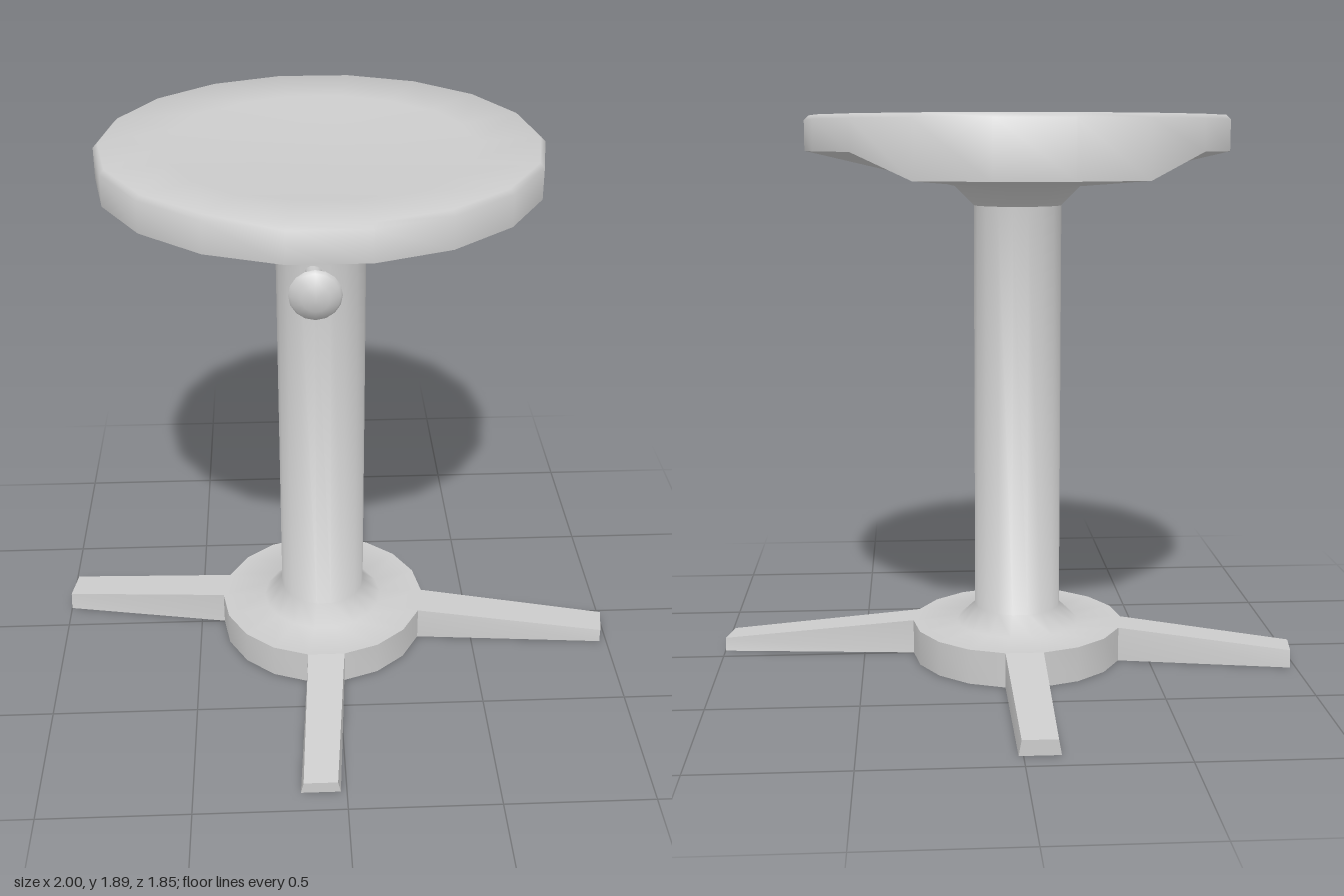
import * as THREE from 'three';
import { toCreasedNormals } from 'three/addons/utils/BufferGeometryUtils.js';

const SIDES = 18, CX = -0.045, HUB_R = 0.37, HUB_H = 0.12;
const material = new THREE.MeshStandardMaterial({ color: 0xcccccc, side: THREE.DoubleSide });

function part(name, geometry, crease = 0.9) {
  const mesh = new THREE.Mesh(toCreasedNormals(geometry, crease), material);
  mesh.name = name;
  return mesh;
}

// Turned part with a corner on the +x axis
function lathe(profile, sides = SIDES) {
  return new THREE.LatheGeometry(profile.map(p => new THREE.Vector2(...p)), sides, Math.PI / 2);
}

// Surface from four-cornered faces
function quads(list) {
  const pos = [];
  for (const [a, b, c, d] of list) pos.push(...a, ...b, ...c, ...a, ...c, ...d);
  const g = new THREE.BufferGeometry();
  g.setAttribute('position', new THREE.Float32BufferAttribute(pos, 3));
  return g;
}

function hubPoint(k, y) {
  const a = k * Math.PI * 2 / SIDES;
  return [CX + HUB_R * Math.cos(a), y, HUB_R * Math.sin(a)];
}

// Hollow leg growing out of one side of the hub; a and b are the tip corners
function leg(side, a, b, h) {
  const rA0 = hubPoint(side, 0), rA1 = hubPoint(side, HUB_H);
  const rB0 = hubPoint(side + 1, 0), rB1 = hubPoint(side + 1, HUB_H);
  const mix = t => [a[0] + (b[0] - a[0]) * t, a[1] + (b[1] - a[1]) * t];
  const at = ([x, z], y) => [x, y, z];
  const tA0 = at(a, 0), tB0 = at(b, 0), tA1 = at(mix(0.07), h), tB1 = at(mix(0.93), h);
  return quads([
    [rA0, rA1, tA1, tA0],
    [tB0, tB1, rB1, rB0],
    [tA0, tA1, tB1, tB0],
    [rA1, rB1, tB1, tA1],
  ]);
}

export function createModel() {
  const model = new THREE.Group();
  model.name = 'stool';

  // Seat: dished top, conical underside, rim pulled down at the back
  const seatGeometry = lathe([
    [0.15, 1.59], [0.215, 1.655], [0.72, 1.773], [0.72, 1.875], [0.705, 1.89],
    [0.5, 1.878], [0.25, 1.864], [0, 1.86],
  ]);
  const p = seatGeometry.attributes.position;
  for (let i = 0; i < p.count; i++) {
    if (p.getZ(i) < -0.55 && p.getY(i) < 1.8) p.setY(i, 1.688);
  }
  const seat = part('seat', seatGeometry);
  seat.position.x = CX;
  model.add(seat);

  // Column with a flared foot and the top of the hub
  const column = part('column', lathe([
    [HUB_R, HUB_H], [0.215, HUB_H], [0.15, 0.18], [0.15, 1.6],
  ]));
  column.position.x = CX;
  model.add(column);

  // Plate closing the column from below
  const plate = part('columnPlate', new THREE.CircleGeometry(0.2, SIDES).rotateX(Math.PI / 2));
  plate.position.set(CX, HUB_H + 0.003, 0);
  model.add(plate);

  // Legs, each on one side of the hub
  const legs = {
    leftLeg: [0, [1, 0.06], [0.975, 0.185], 0.045],
    frontLeg: [4, [-0.02, 0.92], [-0.15, 0.92], 0.04],
    rightLeg: [9, [-1, -0.105], [-0.98, -0.235], 0.06],
    backLeg: [13, [-0.115, -0.925], [0.015, -0.925], 0.05],
  };
  for (const [name, args] of Object.entries(legs)) model.add(part(name, leg(...args), 0.3));

  // Hub wall, open where the legs join
  const taken = Object.values(legs).map(l => l[0]);
  const wall = [];
  for (let k = 0; k < SIDES; k++) {
    if (taken.includes(k)) continue;
    wall.push([hubPoint(k, 0), hubPoint(k, HUB_H), hubPoint(k + 1, HUB_H), hubPoint(k + 1, 0)]);
  }
  model.add(part('hubWall', quads(wall)));

  // Height knob on its stem
  const knob = part('knob', lathe([
    [0.03, 0.13], [0.03, 0.275], [0.05, 0.277], [0.08, 0.292], [0.086, 0.305],
    [0.078, 0.317], [0.045, 0.335], [0, 0.342],
  ], 16));
  knob.rotation.x = Math.PI / 2;
  knob.position.set(-0.073, 1.49, 0);
  model.add(knob);

  return model;
}
